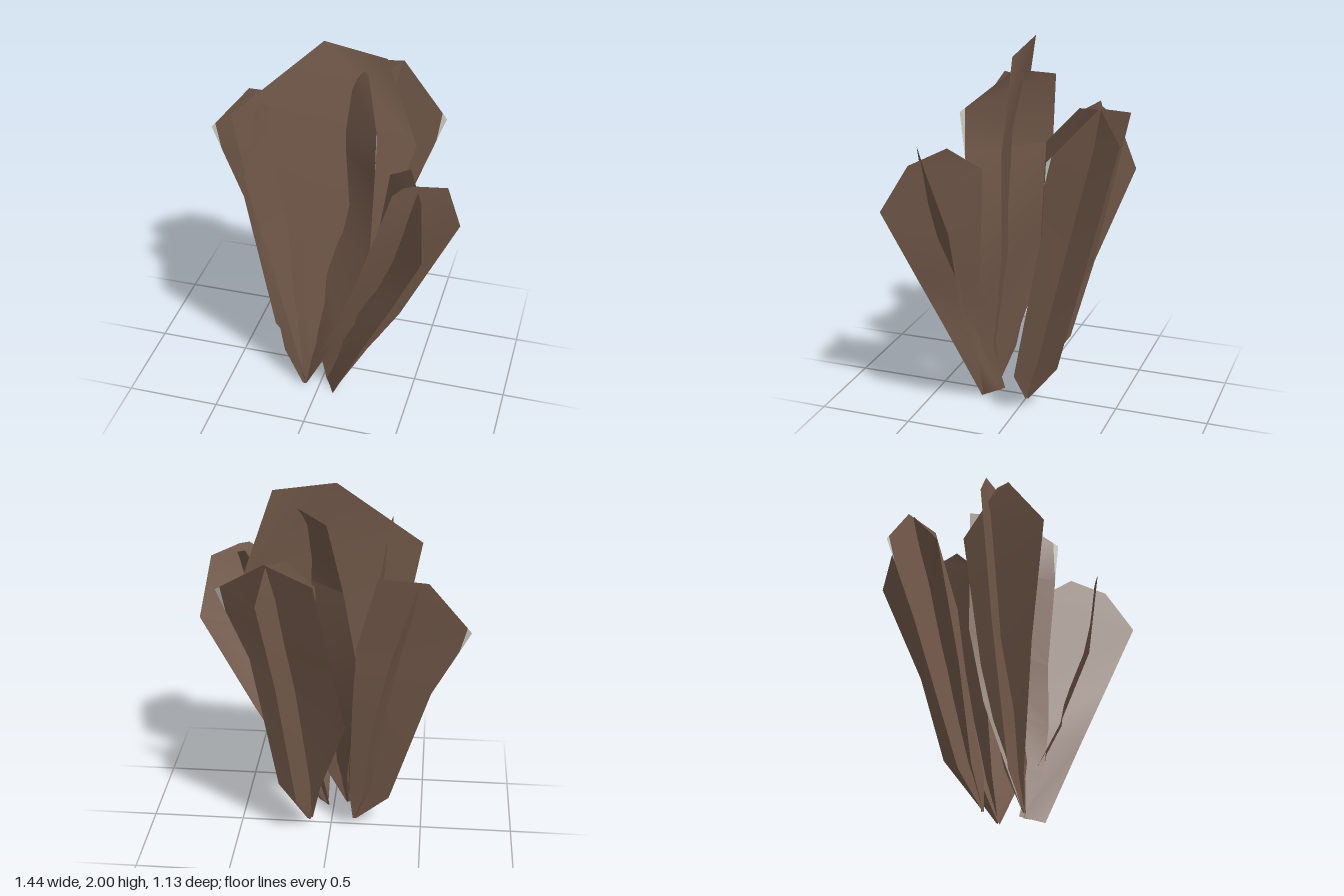
import * as THREE from 'three';

const bark = new THREE.MeshStandardMaterial({ color: 0x745a4b, side: THREE.DoubleSide });
bark.name = 'brown bark';
const pale = new THREE.MeshStandardMaterial({ color: 0xd2d2cc, side: THREE.DoubleSide });
pale.name = 'pale grey';

const mix = (a, b, t) => a.map((v, i) => v + (b[i] - v) * t);

function surface(name, points, index, material) {
  const g = new THREE.BufferGeometry();
  g.setAttribute('position', new THREE.Float32BufferAttribute(points.flat(), 3));
  g.setIndex(index);
  g.computeVertexNormals();
  const mesh = new THREE.Mesh(g, material);
  mesh.name = name;
  return mesh;
}

// A blade is a strip lofted between two edges; each row is [edge A xyz, edge B xyz], base to top.
// tip = [row, edge] cuts that corner off and fills it with a pale triangle.
function blade(group, name, rows, tip) {
  const pairs = rows.map(r => [r.slice(0, 3), r.slice(3)]);
  if (tip) {
    const [i, side] = tip;
    const corner = pairs[i][side];
    const low = mix(corner, pairs[i - 1][side], 0.3);
    const high = mix(corner, pairs[i + 1][side], 0.1);
    const other = pairs[i][1 - side];
    const order = p => (side === 0 ? [p, other] : [other, p]);
    pairs.splice(i, 1, order(low), order(high));
    group.add(surface(name + 'Tip', [low, corner, high], [0, 2, 1], pale));
  }
  const index = [];
  for (let i = 0; i < pairs.length - 1; i++) {
    const a = i * 2;
    index.push(a, a + 3, a + 1, a, a + 2, a + 3);
  }
  group.add(surface(name, pairs.flat(), index, bark));
}

function cluster(parent, name) {
  const g = new THREE.Group();
  g.name = name;
  parent.add(g);
  return g;
}

export function createModel() {
  const model = new THREE.Group();
  model.name = 'bladeCluster';

  // Tall central clump: three crossing blades
  const centre = cluster(model, 'centreClump');
  blade(centre, 'centreWideBlade', [
    [-0.07, 0.01, 0.21, -0.09, 0.01, 0.21],
    [0.03, 0.20, 0.20, -0.20, 0.20, 0.18],
    [0.27, 0.90, 0.05, -0.33, 0.92, 0.16],
    [0.45, 1.49, -0.02, -0.46, 1.63, 0.16],
    [0.29, 1.95, -0.02, -0.03, 2.00, -0.03],
  ]);
  blade(centre, 'centreCrossBlade', [
    [-0.07, 0.01, 0.21, -0.08, 0.01, 0.20],
    [0.04, 0.25, 0.26, -0.10, 0.25, 0.12],
    [0.13, 0.52, 0.25, -0.13, 0.60, 0.01],
    [0.27, 0.92, 0.19, -0.14, 1.02, -0.07],
    [0.31, 1.66, 0.25, -0.07, 1.45, -0.11],
    [0.20, 1.87, 0.00, 0.01, 1.82, -0.15],
  ], [4, 0]);
  blade(centre, 'centreSideBlade', [
    [-0.08, 0.01, 0.20, -0.07, 0.01, 0.21],
    [-0.08, 0.25, 0.10, -0.11, 0.20, 0.22],
    [-0.14, 0.80, 0.00, -0.21, 0.85, 0.32],
    [-0.25, 1.50, -0.05, -0.30, 1.46, 0.44],
    [-0.29, 1.73, 0.17, -0.30, 1.74, 0.24],
  ]);

  // Rear clump
  const rear = cluster(model, 'rearClump');
  blade(rear, 'rearWideBlade', [
    [0.10, 0.05, -0.03, 0.13, 0.04, -0.03],
    [0.05, 0.30, -0.12, 0.29, 0.25, -0.02],
    [-0.10, 0.79, -0.33, 0.40, 1.11, -0.21],
    [-0.03, 1.22, -0.44, 0.55, 1.52, -0.28],
    [0.04, 1.66, -0.55, 0.28, 1.73, -0.46],
  ], [3, 1]);
  blade(rear, 'rearCrossBlade', [
    [0.11, 0.04, -0.03, 0.12, 0.04, -0.04],
    [0.08, 0.30, -0.05, 0.17, 0.27, -0.22],
    [0.07, 0.90, -0.09, 0.24, 1.05, -0.43],
    [0.07, 1.48, -0.12, 0.31, 1.56, -0.57],
    [0.19, 1.70, -0.33, 0.27, 1.72, -0.46],
  ]);

  // Clump on the model's right
  const right = cluster(model, 'rightClump');
  blade(right, 'rightWideBlade', [
    [-0.14, 0.03, 0.01, -0.12, 0.03, 0.01],
    [-0.32, 0.20, -0.03, -0.10, 0.20, 0.00],
    [-0.53, 0.93, -0.17, -0.12, 0.80, -0.10],
    [-0.72, 1.31, -0.23, -0.14, 1.15, -0.14],
    [-0.50, 1.57, -0.24, -0.25, 1.58, -0.22],
  ], [3, 0]);
  blade(right, 'rightCrossBlade', [
    [-0.13, 0.03, 0.01, -0.13, 0.03, 0.00],
    [-0.19, 0.30, -0.18, -0.22, 0.25, -0.01],
    [-0.23, 0.75, -0.30, -0.32, 0.75, -0.03],
    [-0.33, 1.26, -0.49, -0.46, 1.40, -0.09],
    [-0.42, 1.50, -0.36, -0.46, 1.57, -0.23],
  ]);

  // Clump leaning out to the front left
  const left = cluster(model, 'leftClump');
  blade(left, 'leftWideBlade', [
    [0.03, 0.02, 0.15, 0.09, 0.01, 0.23],
    [0.02, 0.28, 0.24, 0.27, 0.32, 0.19],
    [0.12, 0.52, 0.32, 0.44, 0.60, 0.20],
    [0.27, 0.95, 0.43, 0.72, 1.17, 0.15],
    [0.43, 1.47, 0.43, 0.67, 1.47, 0.29],
    [0.48, 1.51, 0.41, 0.53, 1.51, 0.38],
  ]);
  blade(left, 'leftCrossBlade', [
    [0.02, 0.03, 0.13, 0.09, 0.00, 0.24],
    [0.14, 0.52, 0.21, 0.28, 0.45, 0.36],
    [0.27, 0.80, 0.17, 0.44, 0.80, 0.45],
    [0.35, 1.39, 0.12, 0.61, 1.20, 0.56],
    [0.48, 1.52, 0.25, 0.57, 1.44, 0.42],
  ]);

  return model;
}
